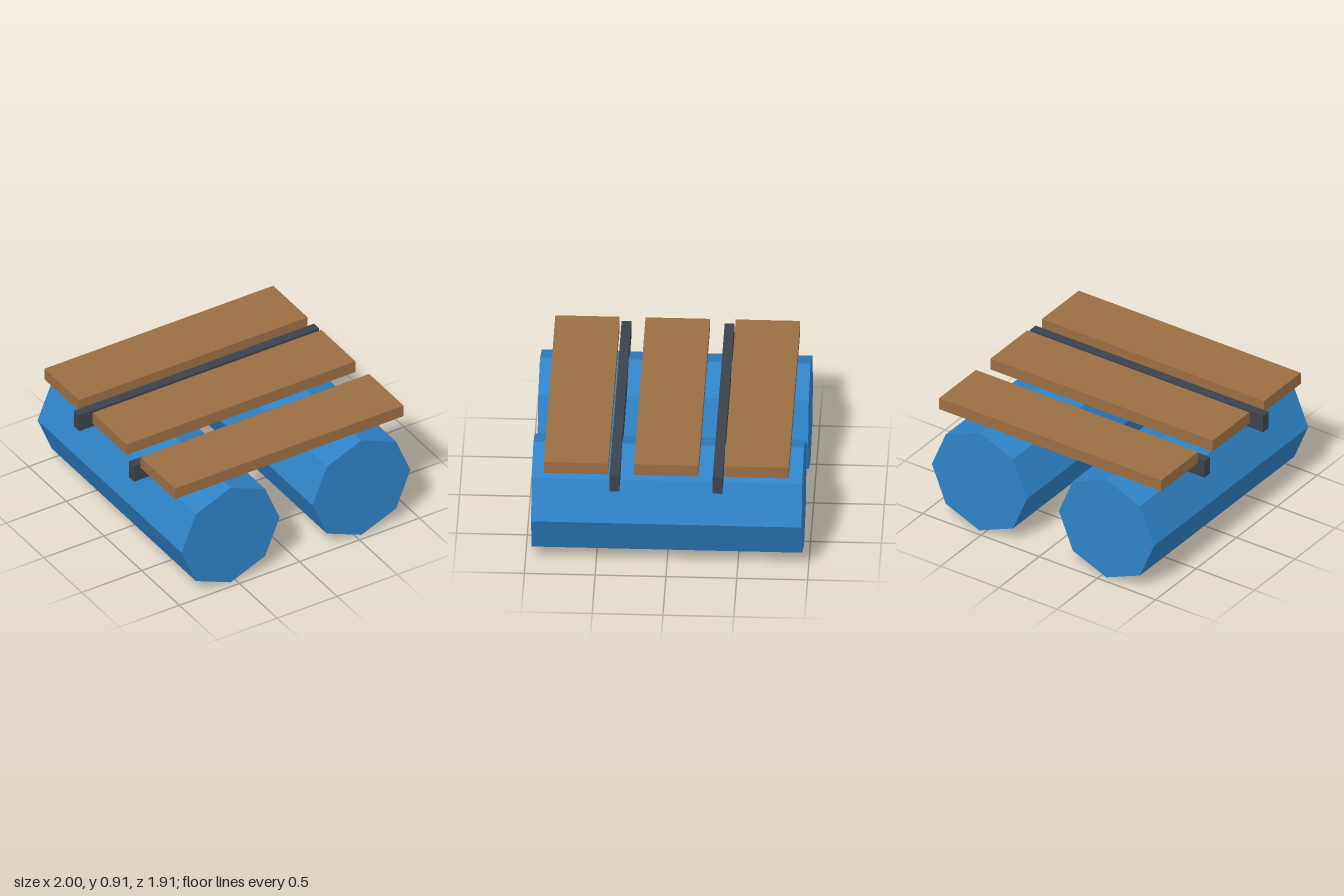
import * as THREE from 'three';

function material(name, color) {
  const m = new THREE.MeshStandardMaterial({ color, flatShading: true });
  m.name = name;
  return m;
}

export function createModel() {
  const blue = material('barrel blue', 0x2f83c8);
  const wood = material('plank brown', 0x9b6e43);
  const iron = material('dark crossbar', 0x3c434d);

  const raft = new THREE.Group();
  raft.name = 'raft';

  const add = (name, geometry, mat, x, y, z) => {
    const mesh = new THREE.Mesh(geometry, mat);
    mesh.name = name;
    mesh.position.set(x, y, z);
    raft.add(mesh);
  };

  // Two eight-sided floats lying front to back, one corner up
  const barrel = new THREE.CylinderGeometry(0.408, 0.408, 1.91, 8).rotateX(Math.PI / 2);
  add('leftBarrel', barrel, blue, 0.545, 0.408, 0);
  add('rightBarrel', barrel, blue, -0.545, 0.408, 0);

  // Three deck planks resting on the floats
  const plank = new THREE.BoxGeometry(1.906, 0.091, 0.455);
  ['backPlank', 'middlePlank', 'frontPlank'].forEach((name, i) => {
    add(name, plank, wood, 0, 0.8635, (i - 1) * 0.637);
  });

  // Two crossbars tying the floats together between the planks
  const crossbar = new THREE.BoxGeometry(2, 0.136, 0.069);
  add('frontCrossbar', crossbar, iron, 0, 0.775, 0.364);
  add('backCrossbar', crossbar, iron, 0, 0.775, -0.364);

  return raft;
}
